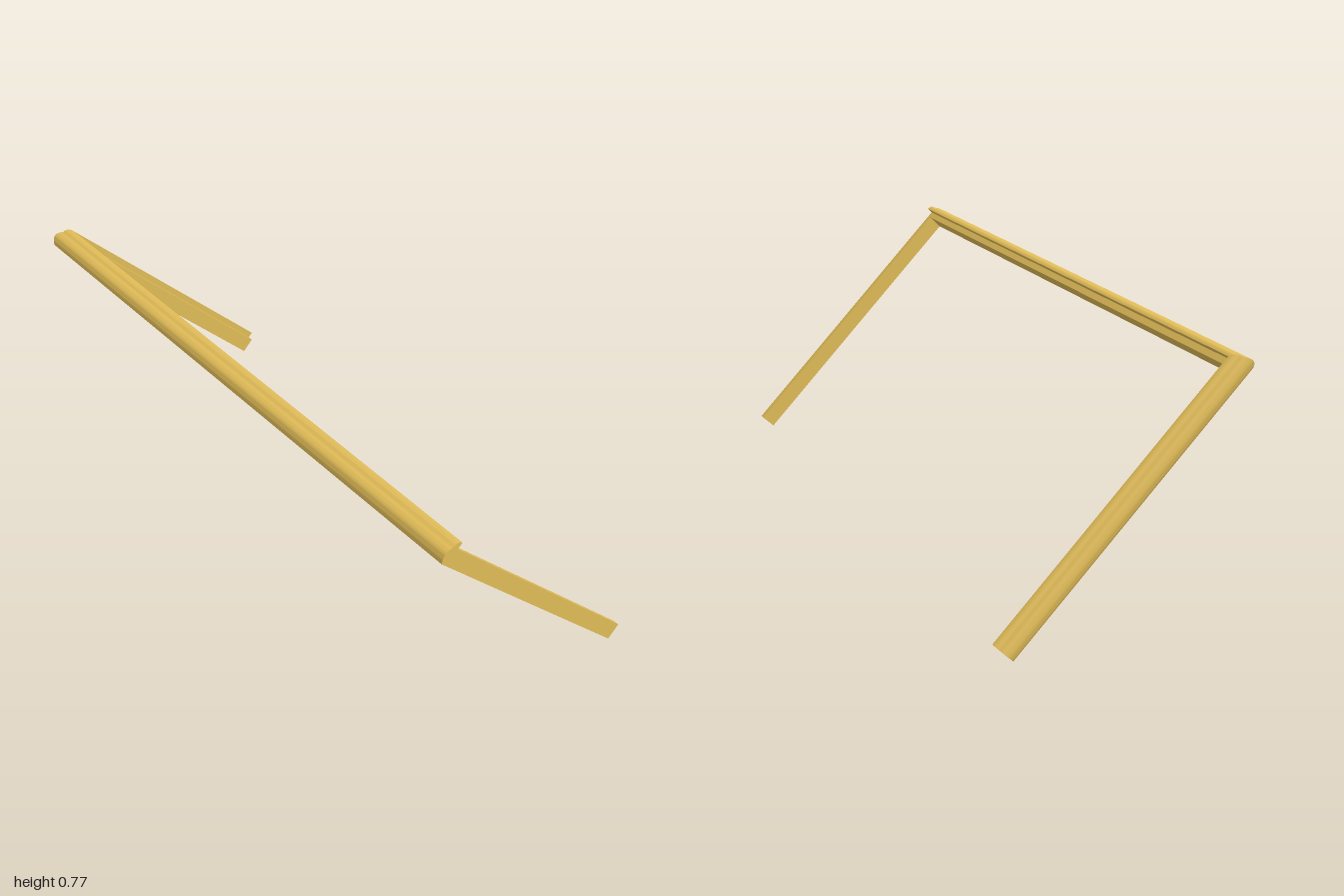
import * as THREE from 'three';
import { toCreasedNormals } from 'three/addons/utils/BufferGeometryUtils.js';

const OUTER = 0.8;     // outer face of the front rail, along the slope
const END = -0.237;    // free ends of the legs, along the slope
const BASE = 0.237;    // underside, across the slope
const WIDTH = 0.054;   // moulding width
const REBATE = 0.054;  // height of the rebate

// Moulding section: x is the inset from the outer edge, y the height
function mouldingShape() {
  const s = new THREE.Shape();
  s.moveTo(0.012, 0);
  s.lineTo(WIDTH, 0);
  s.lineTo(WIDTH, REBATE);
  s.lineTo(0.034, REBATE);
  s.lineTo(0.034, 0.075);
  s.quadraticCurveTo(0.014, 0.075, 0.012, REBATE); // small top bead
  s.quadraticCurveTo(-0.012, 0.027, 0.012, 0);     // large outer bead
  return s;
}

// Extrude the section by one unit, then place each point by a rule (inset, height, t)
function moulding(place) {
  const geo = new THREE.ExtrudeGeometry(mouldingShape(), { depth: 1, bevelEnabled: false, curveSegments: 12 });
  const pos = geo.attributes.position;
  for (let i = 0; i < pos.count; i++) {
    pos.setXYZ(i, ...place(pos.getX(i), pos.getY(i), pos.getZ(i)));
  }
  return toCreasedNormals(geo, 0.6);
}

export function createModel() {
  const material = new THREE.MeshStandardMaterial({ color: 0xe2bd58 });
  const frame = new THREE.Group();
  frame.name = 'slopedFrame';
  const add = (name, geo) => {
    const mesh = new THREE.Mesh(geo, material);
    mesh.name = name;
    frame.add(mesh);
    return mesh;
  };

  // Front rail, mitred at its right end and square at its left
  add('frontRail', moulding((u, n, t) => [-1 + u + t * (2 - u), BASE + n, OUTER - u]));

  // Moulded leg, mitred where it meets the rail
  add('rightLeg', moulding((u, n, t) => [-1 + u, BASE + n, END + t * (OUTER - u - END)]));

  // Plain thin leg, flush with the rail end
  const length = OUTER - WIDTH - END;
  add('leftLeg', new THREE.BoxGeometry(0.02, REBATE, length))
    .position.set(0.99, BASE + REBATE / 2, END + length / 2);

  // The whole frame slopes down to the back
  frame.rotation.x = -Math.PI / 4;

  const model = new THREE.Group();
  model.name = 'mouldingFrame';
  model.add(frame);
  return model;
}
